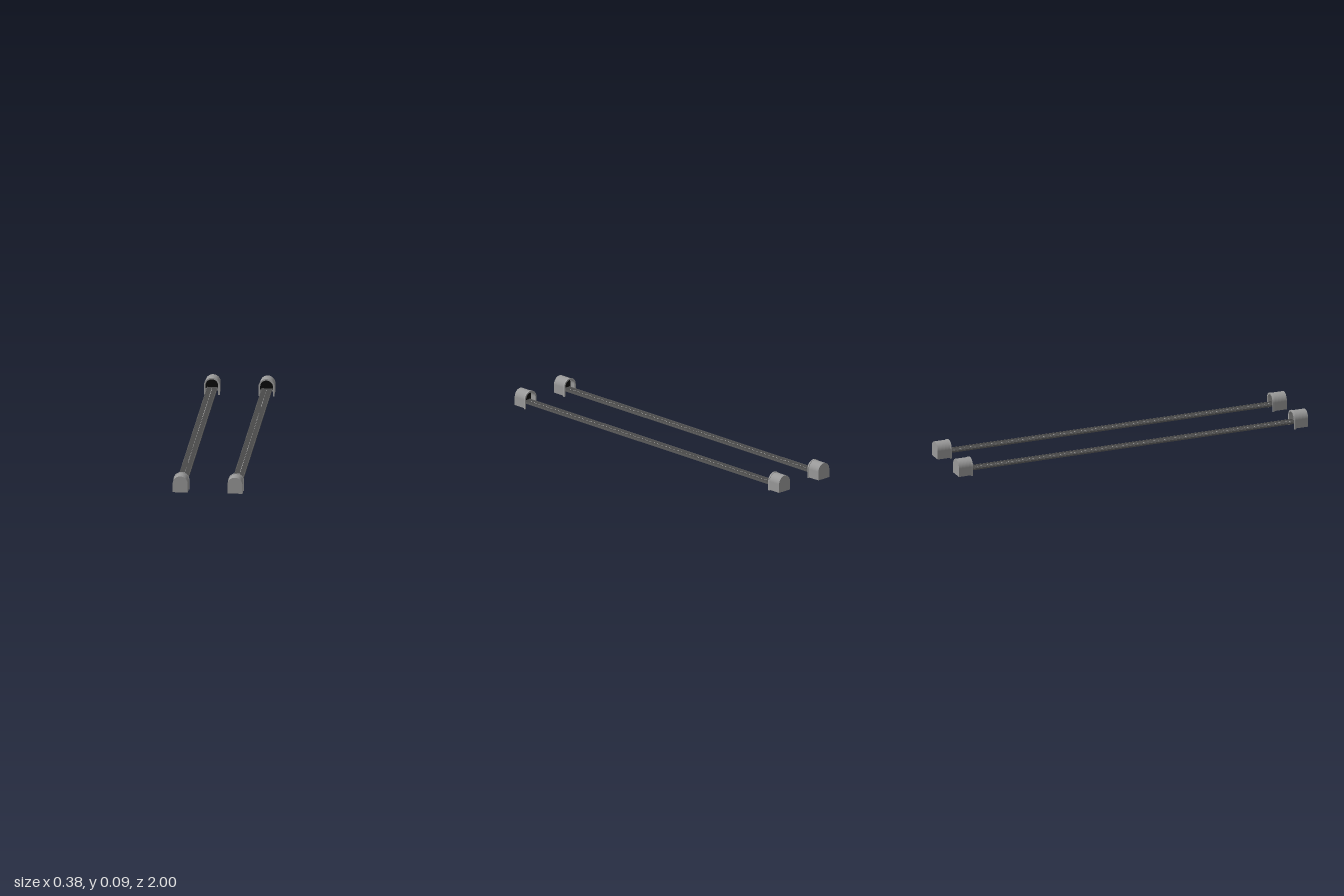
import * as THREE from 'three';

const ROAD_X = 0.145, SPRING_Y = 0.051;
const mat = (color, side = THREE.FrontSide) => new THREE.MeshStandardMaterial({ color, side });
const concrete = mat(0x999999, THREE.DoubleSide);
const rimGrey = mat(0xa0a0a0);
const dark = mat(0x0a0a0a, THREE.DoubleSide);
const asphalt = mat(0x4a4a4a);
const kerbGrey = mat(0x5c5c5c);
const white = mat(0xdddddd);

function add(parent, name, geometry, material, x = 0, y = 0, z = 0) {
  const mesh = new THREE.Mesh(geometry, material);
  mesh.name = name;
  mesh.position.set(x, y, z);
  parent.add(mesh);
  return mesh;
}

// Solid arch: straight sides and a round top
function archShape(r, bottom) {
  const s = new THREE.Shape();
  s.moveTo(-r, bottom);
  s.lineTo(r, bottom);
  s.lineTo(r, SPRING_Y);
  s.absarc(0, SPRING_Y, r, 0, Math.PI, false);
  s.lineTo(-r, bottom);
  return s;
}

// Horseshoe band, open at the foot
function bandShape(outer, inner, bottom) {
  const s = new THREE.Shape();
  s.moveTo(outer, bottom);
  s.lineTo(outer, SPRING_Y);
  s.absarc(0, SPRING_Y, outer, 0, Math.PI, false);
  s.lineTo(-outer, bottom);
  s.lineTo(-inner, bottom);
  s.lineTo(-inner, SPRING_Y);
  s.absarc(0, SPRING_Y, inner, Math.PI, 0, true);
  s.lineTo(inner, bottom);
  return s;
}

const extrude = (shape, depth) =>
  new THREE.ExtrudeGeometry(shape, { depth, bevelEnabled: false, curveSegments: 24 });

// Tunnel end at z = +1 with its mouth facing -z
function makePortal() {
  const portal = new THREE.Group();
  portal.name = 'tunnelPortal';
  add(portal, 'tunnelShell', extrude(bandShape(0.04, 0.037, 0.004), 0.075), concrete, 0, 0, 0.924);
  add(portal, 'endWall', extrude(archShape(0.04, 0.004), 0.003), concrete, 0, 0, 0.997);
  add(portal, 'mouthRim', extrude(bandShape(0.0425, 0.034, 0), 0.008), rimGrey, 0, 0, 0.92);
  add(portal, 'darkInterior', new THREE.ShapeGeometry(archShape(0.037, 0.027), 24), dark, 0, 0, 0.955);
  return portal;
}

function makeRoad() {
  const road = new THREE.Group();
  road.name = 'road';
  add(road, 'roadDeck', new THREE.BoxGeometry(0.055, 0.006, 1.91), asphalt, 0, 0.03, 0);
  for (const side of [-1, 1])
    add(road, 'kerb', new THREE.BoxGeometry(0.003, 0.009, 1.91), kerbGrey, side * 0.0265, 0.0305, 0);

  // Centre line dashes
  const count = 62, step = 1.86 / count;
  const dash = new THREE.BoxGeometry(0.002, 0.001, step * 0.5);
  for (let i = 0; i < count; i++)
    add(road, 'laneDash', dash, white, 0, 0.0333, (i - (count - 1) / 2) * step);

  const front = makePortal();
  const back = makePortal();
  back.rotation.y = Math.PI;
  road.add(front, back);
  return road;
}

export function createModel() {
  const model = new THREE.Group();
  model.name = 'twinTunnelRoads';
  for (const side of [-1, 1]) {
    const road = makeRoad();
    road.position.x = side * ROAD_X;
    model.add(road);
  }
  return model;
}
